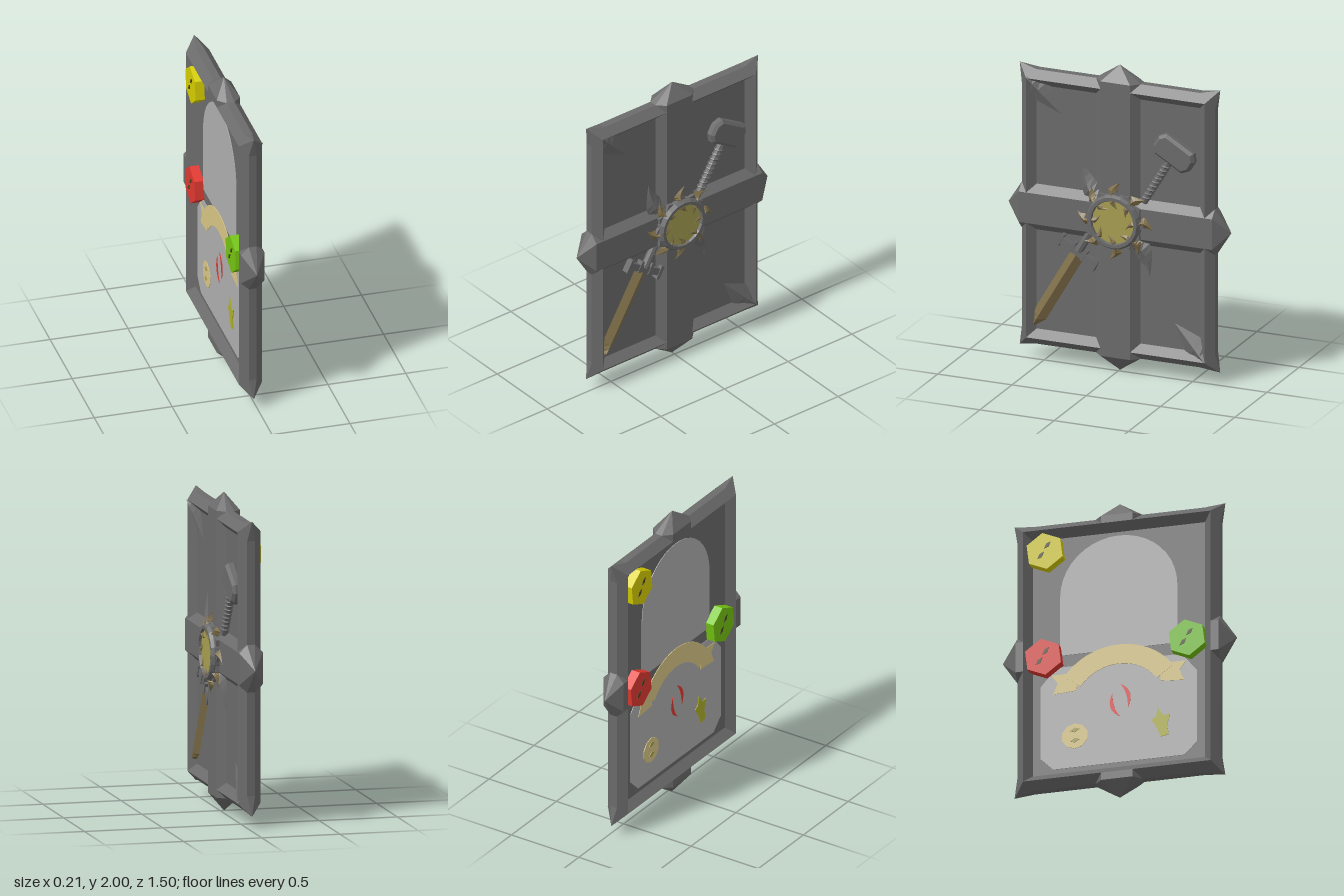
import * as THREE from 'three';

const mat = (name, color, both = true) => {
  const m = new THREE.MeshStandardMaterial({ color, flatShading: true, side: both ? THREE.DoubleSide : THREE.FrontSide });
  m.name = name;
  return m;
};

export function createModel() {
  const stone = mat('stone', 0x6b6b6b), pale = mat('paleStone', 0xaeaeae), bronze = mat('bronze', 0x80704a),
    gold = mat('gold', 0xa69e50), red = mat('red', 0xe03830), green = mat('green', 0x74c412),
    yellow = mat('yellow', 0xd6ce00), ribbon = mat('ribbonTan', 0xd8c685), olive = mat('olive', 0xaeb02c),
    dark = mat('darkMark', 0x4a4420);

  const add = (parent, name, geo, material, x = 0, y = 0, z = 0, rz = 0) => {
    const m = new THREE.Mesh(geo, material);
    m.name = name;
    m.position.set(x, y, z);
    m.rotation.z = rz;
    parent.add(m);
    return m;
  };
  const group = (parent, name, x = 0, y = 0, z = 0, rz = 0) => {
    const g = new THREE.Group();
    g.name = name;
    g.position.set(x, y, z);
    g.rotation.z = rz;
    parent.add(g);
    return g;
  };
  const outline = pts => new THREE.Shape(pts.map(p => new THREE.Vector2(p[0], p[1])));
  const extrude = (shape, depth, bevel = 0) => new THREE.ExtrudeGeometry(shape, {
    depth, bevelEnabled: bevel > 0, bevelSize: bevel, bevelThickness: bevel, bevelOffset: -bevel, bevelSegments: 1, curveSegments: 10 });
  const ring = (n, r, r2 = r) => outline(Array.from({ length: n }, (_, i) => {
    const a = i / n * Math.PI * 2, q = i % 2 ? r2 : r;
    return [q * Math.sin(a), q * Math.cos(a)];
  }));

  // Polygons given for one quarter, mirrored to all four and turned outward
  function quarters(faces, side) {
    const pos = [];
    for (const su of [1, -1]) for (const sv of [1, -1]) for (const f of faces) {
      const p = f.map(([u, v, w]) => new THREE.Vector3(u * su, v * sv, w * side));
      const n = p[1].clone().sub(p[0]).cross(p[2].clone().sub(p[0])).normalize();
      const d = Math.abs(n.z) > 1e-3 ? n.z * side : n.x * p[0].x + n.y * p[0].y;
      if (d < 0) p.reverse();
      for (let i = 1; i < p.length - 1; i++) for (const q of [p[0], p[i], p[i + 1]]) pos.push(q.x, q.y, q.z);
    }
    const g = new THREE.BufferGeometry();
    g.setAttribute('position', new THREE.Float32BufferAttribute(pos, 3));
    g.computeVertexNormals();
    return g;
  }

  // Ridged leaf from the origin along +y, curling toward +x
  function leaf(len, half, bend, height, belly = 0.3, n = 6) {
    const pos = [], idx = [];
    for (let i = 0; i <= n; i++) {
      const t = i / n, w = half * (t < belly ? 0.6 + 0.4 * t / belly : (1 - t) / (1 - belly));
      const cx = bend * (t * t * 1.6 - t * 0.6), cy = len * t, h = height * (1 - t);
      pos.push(cx - w, cy, 0, cx, cy, h, cx + w, cy, 0);
      if (i) for (const k of [0, 1]) {
        const a = i * 3 - 3 + k, b = a + 3;
        idx.push(a, a + 1, b + 1, a, b + 1, b);
      }
    }
    const g = new THREE.BufferGeometry();
    g.setAttribute('position', new THREE.Float32BufferAttribute(pos, 3));
    g.setIndex(idx);
    g.computeVertexNormals();
    return g;
  }

  const model = new THREE.Group();
  model.name = 'reliefPlaque';
  const face = group(model, 'decoratedFace', -0.025, 1, 0);
  face.rotation.y = Math.PI / 2;
  const back = group(model, 'backFace', -0.025, 1, 0);
  back.rotation.y = -Math.PI / 2;

  // Bevelled frame with pointed corners and side tips
  const lo = 0.025, hi = 0.075;
  const R = [.6, .85, hi], I = [.55, .8, lo], T0 = [.15, .9, lo], T1 = [.55, .9, lo], S0 = [.65, .15, lo], S1 = [.65, .8, lo];
  const C = [.675, .925, 0], M = [0, 1, 0], N = [.75, 0, 0], A = [.1, .9, hi], B = [.65, .1, hi], K = [.1, .85, hi], U = [.6, .1, hi];
  const flat = ([u, v]) => [u, v, 0];
  const rim = [
    [T0, T1, R, K], [T0, K, A], [U, R, S1, S0], [U, S0, B],
    [A, [0, .9, hi], M], [A, T0, M], [T0, flat(T0), M], [B, [.65, 0, hi], N], [B, S0, N], [S0, flat(S0), N],
    [T0, T1, flat(T1), flat(T0)], [S0, S1, flat(S1), flat(S0)],
    [T1, C, R], [R, C, S1], [T1, flat(T1), C], [S1, flat(S1), C],
  ];
  const J = [.15, .8, lo], Q = [.15, .15, lo], V = [.55, .15, lo], L = [.1, .1, hi];
  add(face, 'frameAndCross', quarters([...rim,
    [K, R, I, J], [K, J, Q, L], [L, Q, V, U], [U, V, I, R], [J, I, V, Q],
    [[0, 0, hi], [.65, 0, hi], B, L], [[0, 0, hi], L, A, [0, .9, hi]],
  ], 1), stone);
  add(face, 'backFrame', quarters([...rim,
    [[0, .85, hi], R, I, [0, .8, lo]], [[.6, 0, hi], R, I, [.55, 0, lo]],
    [[0, .85, hi], K, A, [0, .9, hi]], [[.6, 0, hi], U, B, [.65, 0, hi]],
    [[0, 0, lo], [.55, 0, lo], I, [0, .8, lo]],
  ], -1), stone);

  // Corner spikes and large curled claws on opposite corners
  for (const s of [1, -1]) {
    const half = group(face, 'cornerOrnaments', 0, 0, 0, s > 0 ? 0 : Math.PI);
    add(half, 'cornerSpike', leaf(0.31, 0.085, 0, 0.05, 0.35), stone, -0.6, 0.85, 0.03, Math.PI * 1.25);
    add(half, 'largeClaw', leaf(0.22, 0.07, 0.1, 0.05, 0.4), stone, -0.12, 0.13, 0.045, 0.85);
  }

  // Sun emblem
  const sun = group(face, 'sunEmblem', 0, 0, hi);
  add(sun, 'starPlate', extrude(ring(24, 0.2, 0.172), 0.022), stone);
  const rimGeo = new THREE.LatheGeometry([[.18, 0], [.178, .03], [.165, .05], [.145, .05], [.138, .03]]
    .map(p => new THREE.Vector2(...p)), 20).rotateX(Math.PI / 2);
  add(sun, 'sunRing', rimGeo, stone);
  add(sun, 'sunDisc', new THREE.CircleGeometry(0.142, 20), gold, 0, 0, 0.034);
  for (let i = 0; i < 8; i++) {
    const ray = group(sun, 'sunRay', 0, 0, 0, i * Math.PI / 4);
    add(ray, 'outerFlame', leaf(0.085, 0.036, 0.05, 0.035, 0.35), bronze, -0.012, 0.172, 0.004);
    add(ray, 'innerFlame', leaf(0.06, 0.02, -0.04, 0.014, 0.3), bronze, 0, 0.143, 0.036, Math.PI);
  }

  // Hammer
  const hammer = group(face, 'hammer', 0.18, 0.14, 0.045, -0.54);
  add(hammer, 'hammerHandle', new THREE.CylinderGeometry(0.024, 0.024, 0.36, 8), stone, 0, 0.18, 0);
  for (let i = 0; i < 9; i++)
    add(hammer, 'gripWrap', new THREE.TorusGeometry(0.024, 0.008, 5, 8).rotateX(Math.PI / 2), stone, 0, 0.04 + i * 0.032, 0, 0.4);
  const headShape = outline([[-.14, -.035], [-.105, -.08], [.105, -.08], [.14, -.035], [.14, .035], [.105, .08], [-.105, .08], [-.14, .035]]);
  add(hammer, 'hammerHead', extrude(headShape, 0.035, 0.018), stone, 0, 0.41, -0.015);

  // Sword
  const sword = group(face, 'sword', -0.26, -0.25, 0.04, Math.PI - 0.53);
  const blade = leaf(0.62, 0.05, 0, 0.035, 0.85, 20);
  const bp = blade.attributes.position;
  for (let i = 0; i <= 20; i++) { // straight sides ending in a short point
    const w = 0.048 * Math.min(1, (20 - i) / 3);
    bp.setX(i * 3, -w);
    bp.setX(i * 3 + 2, w);
    bp.setZ(i * 3 + 1, i === 20 ? 0 : 0.03);
  }
  add(sword, 'blade', blade, bronze, 0, 0, -0.012);
  add(sword, 'crossguard', new THREE.BoxGeometry(0.26, 0.045, 0.05), stone);
  for (const s of [1, -1]) {
    add(sword, 'guardEnd', new THREE.BoxGeometry(0.022, 0.09, 0.06), stone, s * 0.135, 0, 0);
    add(sword, 'guardCollar', new THREE.BoxGeometry(0.02, 0.075, 0.06), stone, s * 0.045, -0.01, 0);
  }
  add(sword, 'swordGrip', new THREE.CylinderGeometry(0.026, 0.026, 0.15, 8), stone, 0, -0.085, 0.01);

  // Back panel inlays
  const inlay = (parent, name, shape, m, x, y, z, rz = 0) => add(parent, name, extrude(shape, 0.004), m, x, y, z, rz);
  const arch = new THREE.Shape();
  arch.moveTo(-.375, 0).lineTo(.375, 0).lineTo(.375, .4).absarc(0, .4, .375, 0, Math.PI, false);
  inlay(back, 'archPanel', arch, pale, 0, 0, lo);
  inlay(back, 'lowerPanel', outline([[-.42, -.77], [.42, -.77], [.5, -.69], [.5, -.2], [.4, -.08], [-.4, -.08], [-.5, -.2], [-.5, -.69]]),
    pale, 0, 0, lo);
  const band = new THREE.Shape();
  band.absarc(0, -.4, .43, 0.62, Math.PI - 0.62, false).absarc(0, -.4, .3, Math.PI - 0.62, 0.62, true);
  inlay(back, 'ribbon', band, ribbon, 0, 0, lo + 0.005);
  for (const s of [1, -1])
    inlay(back, 'ribbonTail', outline([[s * .26, -.13], [s * .43, -.13], [s * .39, -.19], [s * .42, -.26], [s * .27, -.25]]),
      ribbon, 0, 0, lo + 0.003);

  // Small symbols on the lower panel
  const crescent = new THREE.Shape();
  crescent.moveTo(0, .11).quadraticCurveTo(.1, .06, .05, -.05).quadraticCurveTo(.05, .05, 0, .11);
  for (const s of [0, 1]) inlay(back, 'redCrescent', crescent, red, 0.01, -0.35, lo + 0.005, s * Math.PI);
  inlay(back, 'leafSymbol', outline([[-.02, .1], [.02, .04], [.06, .05], [.04, -.02], [.05, -.09], [0, -.1], [-.03, -.03], [-.06, .02], [-.03, .04]]),
    olive, 0.27, -0.53, lo + 0.005);
  inlay(back, 'roundSymbol', ring(10, 0.085), ribbon, -0.28, -0.56, lo + 0.005);
  for (const s of [1, -1]) inlay(back, 'roundSymbolMark', outline([[-.03, 0], [0, .02], [.03, .01], [0, -.01]]), gold, -0.28, -0.56 + s * 0.035, lo + 0.009);

  // Coloured hexagonal studs
  for (const [name, m, x, y] of [['yellowStud', yellow, -.46, .7], ['redStud', red, -.47, -.02], ['greenStud', green, .45, 0]]) {
    const stud = group(back, name, x, y, lo, 0.12);
    add(stud, 'hexagon', extrude(ring(6, 0.125), 0.06), m);
    for (const s of [1, -1])
      inlay(stud, 'studMark', outline([[-.03, 0], [0, .018], [.03, .012], [0, -.008]]), dark, s * 0.025, s * 0.03, 0.059, 0.5);
  }
  return model;
}
